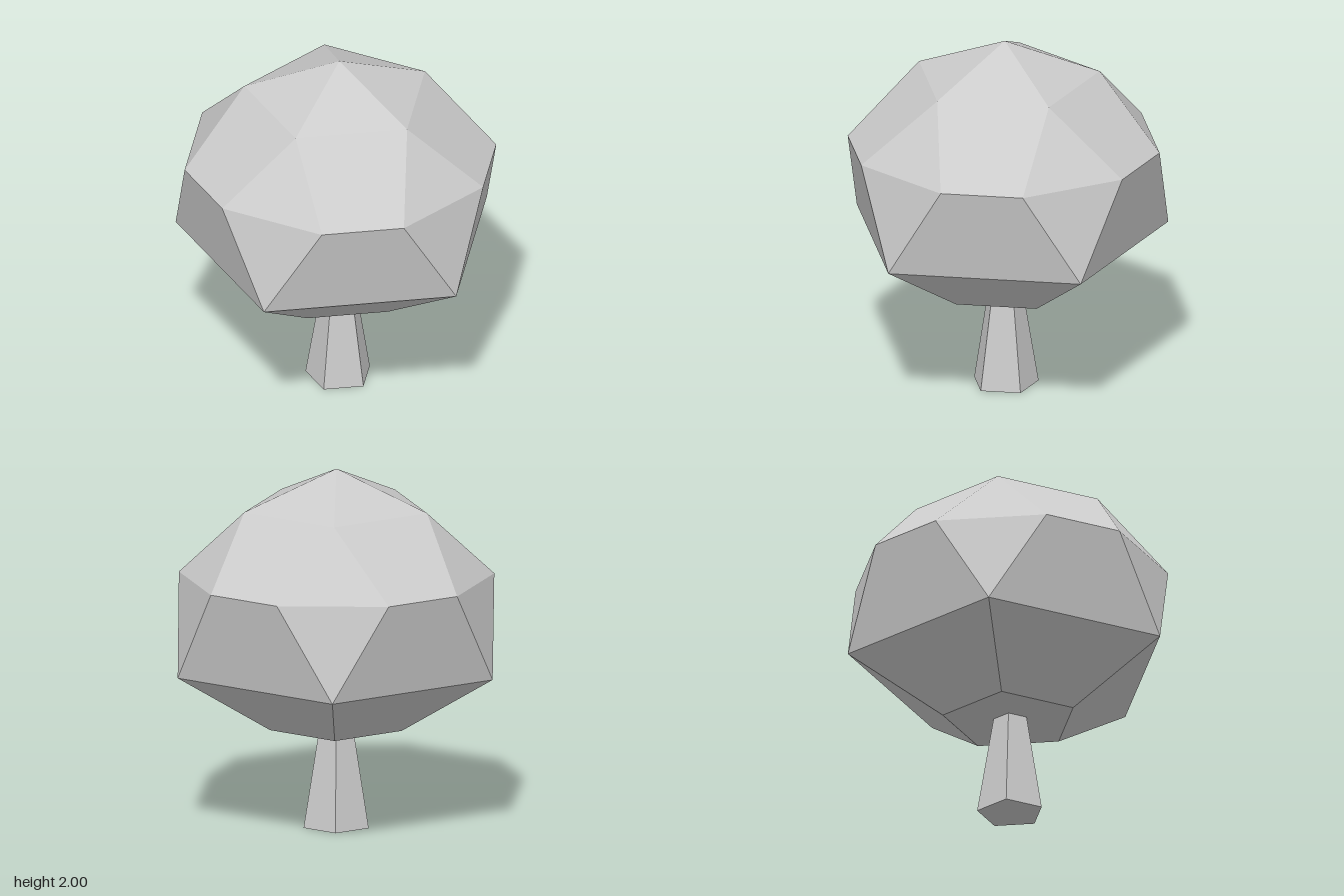
import * as THREE from 'three';

const SIDES = 5;
const STEP = (Math.PI * 2) / SIDES;
const AXIS_X = -0.037;

// Faceted crown with five-fold symmetry: one wedge, repeated around the axis
function crownGeometry() {
  const positions = [];
  const at = (radius, y, angle) => [radius * Math.cos(angle), y, radius * Math.sin(angle)];
  // Corners run counter-clockwise as seen from outside
  const face = (...c) => {
    for (let i = 1; i < c.length - 1; i++) positions.push(...c[0], ...c[i], ...c[i + 1]);
  };
  const apex = [0, 2, 0];
  const base = [0, 0.56, 0];
  const spread = THREE.MathUtils.degToRad(20.75);

  for (let i = 0; i < SIDES; i++) {
    const a = i * STEP;
    const b = a + STEP;
    const upperA = at(0.525, 1.79, a), upperB = at(0.525, 1.79, b);
    const midBefore = at(0.863, 1.41, a - spread);
    const midA = at(0.863, 1.41, a + spread), midB = at(0.863, 1.41, b - spread);
    const rimA = at(0.905, 0.885, a), rimB = at(0.905, 0.885, b);
    const lowA = at(0.378, 0.56, a), lowB = at(0.378, 0.56, b);

    face(apex, upperB, upperA);          // cap
    face(upperB, midB, midA, upperA);    // shoulder
    face(upperA, midA, midBefore);       // upper half of kite
    face(midA, rimA, midBefore);         // lower half of kite
    face(midB, rimB, rimA, midA);        // side
    face(rimB, lowB, lowA, rimA);        // underside slope
    face(lowB, base, lowA);              // flat bottom
  }
  const geometry = new THREE.BufferGeometry();
  geometry.setAttribute('position', new THREE.Float32BufferAttribute(positions, 3));
  geometry.computeVertexNormals();
  return geometry;
}

export function createModel() {
  const model = new THREE.Group();
  model.name = 'tree';
  const material = new THREE.MeshStandardMaterial({ color: 0xcccccc, flatShading: true });

  const crown = new THREE.Mesh(crownGeometry(), material);
  crown.name = 'crown';
  crown.position.x = AXIS_X;

  // Tapered five-sided trunk with a corner towards +x
  const trunkHeight = 0.565;
  const trunk = new THREE.Mesh(
    new THREE.CylinderGeometry(0.095, 0.187, trunkHeight, SIDES, 1, false, Math.PI / 2),
    material
  );
  trunk.name = 'trunk';
  trunk.position.set(AXIS_X, trunkHeight / 2, 0);

  model.add(crown, trunk);
  return model;
}
